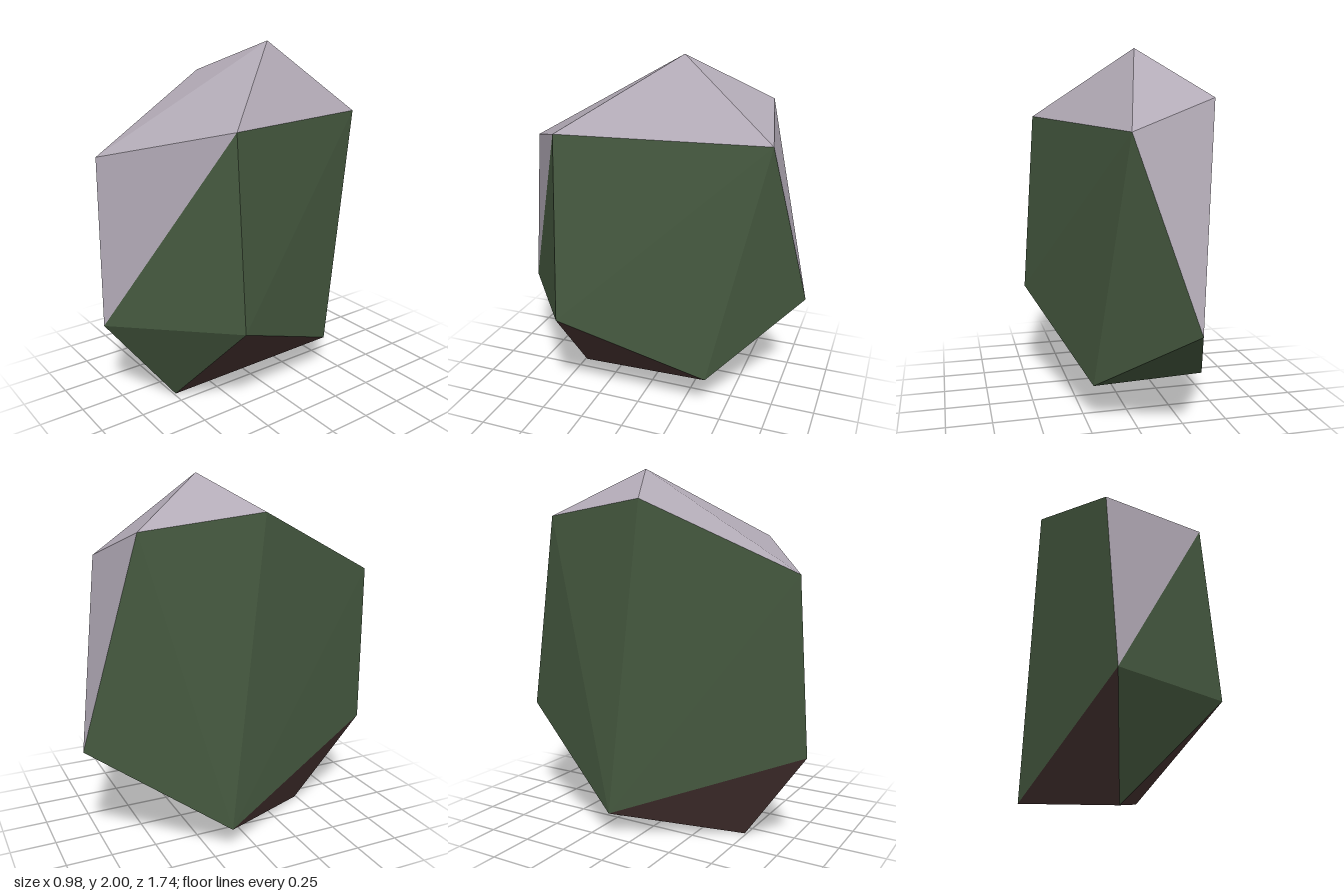
import * as THREE from 'three';

// Corner points of the faceted boulder
const P = {
  T: [-0.06, 2.0, -0.16], // peak
  A: [-0.46, 1.82, 0.05], B: [-0.22, 1.45, 0.83], C: [0.42, 1.63, 0.39], // upper ring
  D: [0.09, 1.58, -0.69], E: [-0.36, 1.74, -0.59],
  F: [-0.22, 0.61, -0.87], G: [0.49, 0.59, 0.39], H: [-0.17, 0.52, 0.87], // lower ring
  I: [0.22, 0.22, -0.4], J: [-0.49, 0.13, -0.14],
  K: [-0.08, 0.0, 0.49], // foot
};
const CENTRE = new THREE.Vector3(0, 1, 0);

function material(name, color) {
  const m = new THREE.MeshStandardMaterial({ color, flatShading: true });
  m.name = name;
  return m;
}

// Builds one coloured set of facets, turning every triangle outward
function facets(name, faces, mat) {
  const points = faces.split(' ').flatMap((face) => {
    const [a, b, c] = [...face].map((k) => new THREE.Vector3(...P[k]));
    const tri = new THREE.Triangle(a, b, c);
    const outward = tri.getMidpoint(new THREE.Vector3()).sub(CENTRE);
    return tri.getNormal(new THREE.Vector3()).dot(outward) > 0 ? [a, b, c] : [a, c, b];
  });
  const geometry = new THREE.BufferGeometry().setFromPoints(points);
  geometry.computeVertexNormals();
  const mesh = new THREE.Mesh(geometry, mat);
  mesh.name = name;
  return mesh;
}

export function createModel() {
  const group = new THREE.Group();
  group.name = 'boulder';
  group.add(
    // Bare stone cap, with one facet running down the front and one down the back
    facets('stoneCap', 'TAB TBC TCD TDE TEA DEF BCH', material('paleStone', 0xb2aab6)),
    // Mossy sides
    facets('mossySides', 'CHG CGD GID DIF EFJ EAJ AJB BJH FIJ HGK', material('mossGreen', 0x465a40)),
    // Earthy underside
    facets('earthBase', 'GIK IJK JHK', material('earthBrown', 0x4b3634)),
  );
  return group;
}
